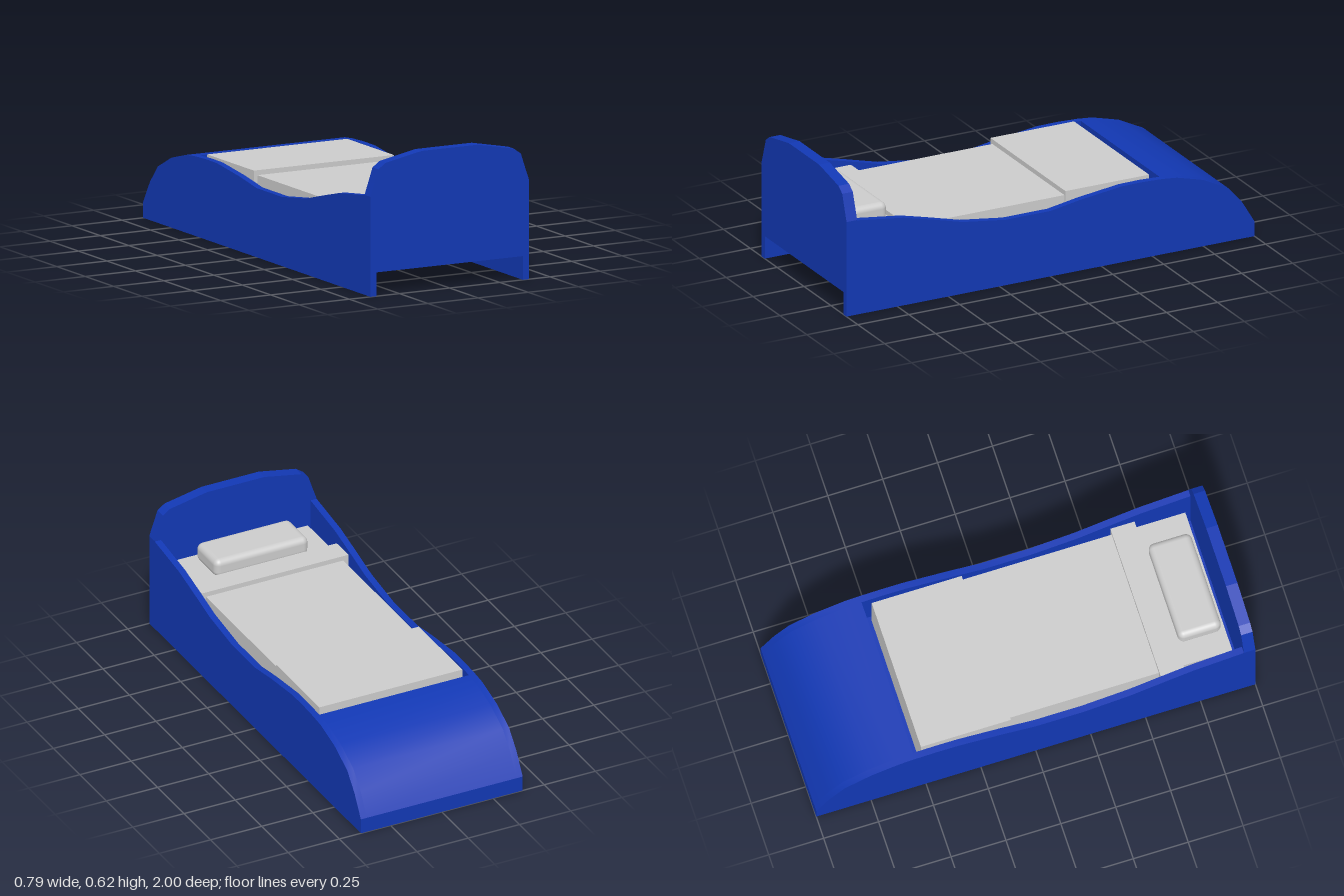
import * as THREE from 'three';
import { toCreasedNormals } from 'three/addons/utils/BufferGeometryUtils.js';
import { RoundedBoxGeometry } from 'three/addons/geometries/RoundedBoxGeometry.js';

const blue = new THREE.MeshStandardMaterial({ color: 0x1238b4 });
const grey = new THREE.MeshStandardMaterial({ color: 0xcccccc });

// Wavy upper edge of the bed side as [z, y], from headboard to foot
const footEdge = [
  [-0.55, 0.352], [-0.62, 0.345], [-0.75, 0.31], [-0.87, 0.25],
  [-0.94, 0.17], [-1, 0.07], [-1, 0],
];
const sideEdge = [
  [0.96, 0], [0.96, 0.442], [0.72, 0.41], [0.6, 0.38], [0.43, 0.335],
  [0.22, 0.306], [0, 0.306], [-0.15, 0.331], [-0.35, 0.355], [-0.45, 0.356],
  ...footEdge,
];
const HALF = 0.395, INNER = 0.365, HEAD_Z = 0.948, CLEARANCE = 0.105;

function extrude(points, depth) {
  const shape = new THREE.Shape(points.map(([a, b]) => new THREE.Vector2(a, b)));
  return new THREE.ExtrudeGeometry(shape, { depth, bevelEnabled: false });
}

// Extrudes a [z, y] outline across x, from x0 to x1
function acrossX(points, x0, x1) {
  const g = extrude(points, x1 - x0);
  g.rotateY(-Math.PI / 2).translate(x1, 0, 0);
  return toCreasedNormals(g, 0.52);
}

export function createModel() {
  const bed = new THREE.Group();
  bed.name = 'bed';

  const add = (name, geometry, material) => {
    const mesh = new THREE.Mesh(geometry, material);
    mesh.name = name;
    bed.add(mesh);
    return mesh;
  };
  // Box given by its limits on each axis
  const box = (name, [x0, x1], [y0, y1], [z0, z1], material, radius = 0) => {
    const size = [x1 - x0, y1 - y0, z1 - z0];
    const g = radius ? new RoundedBoxGeometry(...size, 4, radius) : new THREE.BoxGeometry(...size);
    g.translate((x0 + x1) / 2, (y0 + y1) / 2, (z0 + z1) / 2);
    return add(name, g, material);
  };

  // Side panels and the solid rounded foot between them
  add('leftSidePanel', acrossX(sideEdge, INNER, HALF), blue);
  add('rightSidePanel', acrossX(sideEdge, -HALF, -INNER), blue);
  add('footHood', acrossX([[-0.55, 0], ...footEdge], -INNER, INNER), blue);

  // Headboard with a clearance notch between its legs
  const halfOutline = [
    [INNER, CLEARANCE], [INNER, 0], [HALF, 0], [HALF, 0.442], [0.375, 0.5],
    [0.355, 0.56], [0.32, 0.585], [0.14, 0.62],
  ];
  const mirrored = halfOutline.map(([x, y]) => [-x, y]).reverse();
  const headboard = extrude([...halfOutline, ...mirrored], 1 - HEAD_Z);
  add('headboard', headboard.translate(0, 0, HEAD_Z), blue);

  // Deck carrying the mattress
  box('deck', [-INNER, INNER], [0.105, 0.135], [-0.55, HEAD_Z], blue);

  // Bedding
  box('mattress', [-0.335, 0.335], [0.135, 0.34], [-0.5, 0.915], grey);
  box('footBlanket', [-0.353, 0.345], [0.135, 0.362], [-0.51, -0.1], grey);
  box('blanketFold', [-0.36, 0.355], [0.135, 0.362], [0.58, 0.69], grey);
  box('pillow', [-0.235, 0.222], [0.33, 0.417], [0.705, 0.9], grey, 0.028);

  return bed;
}
